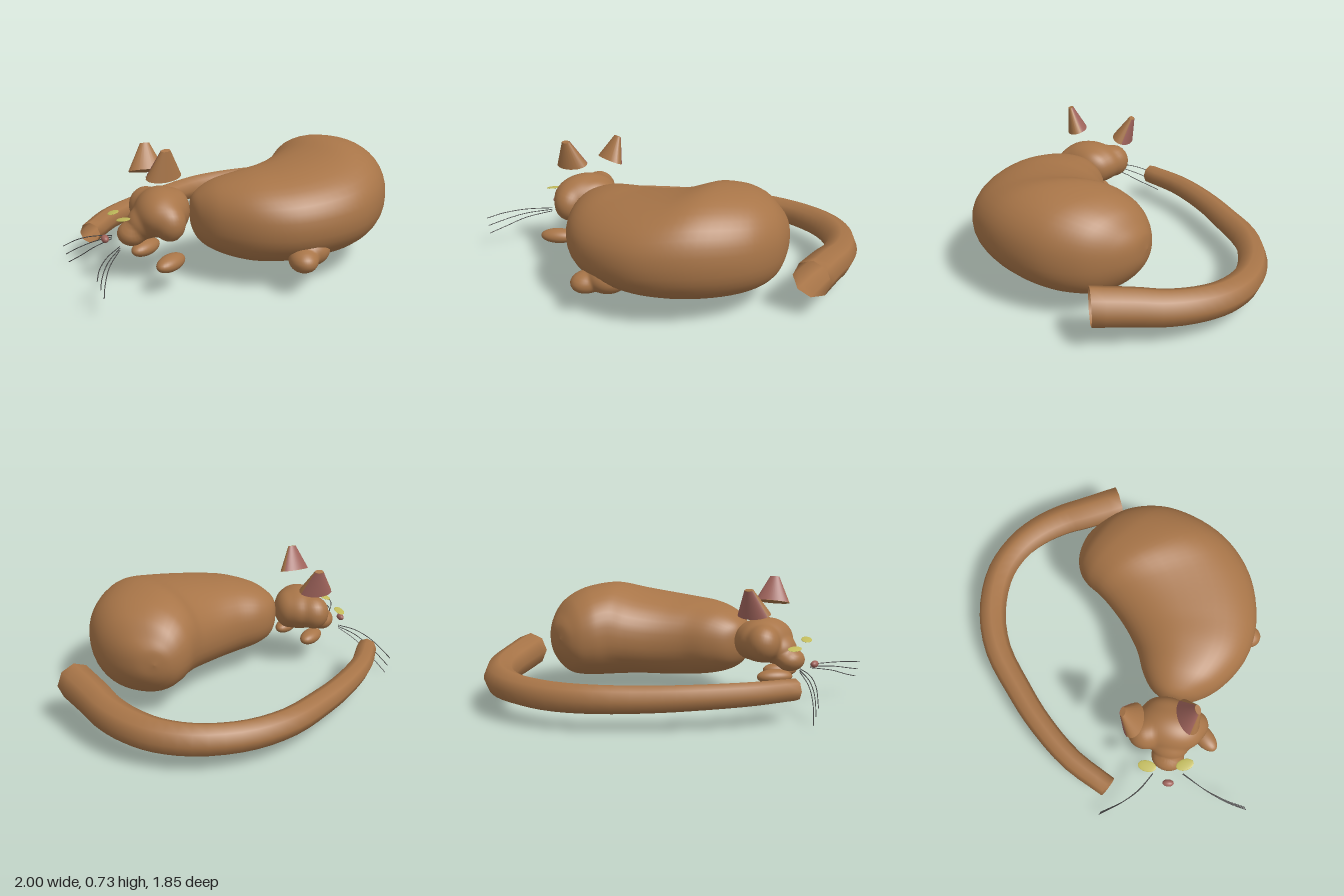
import * as THREE from 'three';

const mat = (name, color) => Object.assign(new THREE.MeshStandardMaterial({ color }), { name });
const V = (p) => new THREE.Vector3(...p);
const UP = new THREE.Vector3(0, 1, 0);
const rounded = (v) => Math.sign(v) * Math.abs(v) ** 0.9;

// Closed rings joined along a path; fn(u, angle) gives each point
function loft(nu, nv, fn) {
  const pos = [], idx = [];
  for (let i = 0; i <= nu; i++) {
    for (let j = 0; j < nv; j++) {
      pos.push(...fn(i / nu, (j / nv) * Math.PI * 2).toArray());
      if (i === nu) continue;
      const k = (j + 1) % nv, a = i * nv + j, b = i * nv + k;
      idx.push(a, a + nv, b, b, a + nv, b + nv);
    }
  }
  const g = new THREE.BufferGeometry();
  g.setAttribute('position', new THREE.Float32BufferAttribute(pos, 3));
  g.setIndex(idx);
  g.computeVertexNormals();
  return g;
}

// One smooth skin around several ellipsoids [centre, radii], found along rays from an inner point
function blend(center, masses) {
  const k = 14;
  const outside = (p) => masses.reduce((sum, [c, r]) => sum + Math.exp(-k * (
    Math.hypot((p.x - c[0]) / r[0], (p.y - c[1]) / r[1], (p.z - c[2]) / r[2]) - 1)), 0) < 1;
  return loft(44, 48, (u, a) => {
    const s = Math.sin(Math.PI * u);
    const dir = V([-Math.cos(Math.PI * u), s * Math.sin(a), s * Math.cos(a)]);
    let lo = 0, hi = 0.4;
    for (let i = 0; i < 18; i++) {
      const mid = (lo + hi) / 2;
      if (outside(V(center).addScaledVector(dir, mid))) hi = mid;
      else lo = mid;
    }
    return V(center).addScaledVector(dir, lo);
  });
}

export function createModel() {
  const fur = mat('brownFur', 0xa87548);
  const tailFur = mat('tailFur', 0xa87548);
  tailFur.side = THREE.DoubleSide;
  const pink = mat('pinkSkin', 0xa0645c);
  pink.side = THREE.DoubleSide;
  const green = mat('yellowGreenEye', 0xc2bb5b);
  const dark = mat('darkWhisker', 0x4a4a4a);

  const model = new THREE.Group();
  model.name = 'sleepingCat';
  const add = (name, geo, material, parent = model) => {
    const m = new THREE.Mesh(geo, material);
    m.name = name;
    parent.add(m);
    return m;
  };
  const blob = (name, p, r, material = fur, rot = [0, 0, 0], parent = model) => {
    const m = add(name, new THREE.SphereGeometry(1, 28, 20), material, parent);
    m.position.set(...p);
    m.scale.set(...r);
    m.rotation.set(...rot);
  };

  // Curled body: inner x, z, outer x, z, top, bottom of each section
  const sections = [
    [-0.31, 0.38, -0.31, 0.38, 0.36, 0.36],
    [-0.298, 0.31, -0.298, 0.45, 0.43, 0.27],
    [-0.26, 0.245, -0.26, 0.53, 0.475, 0.205],
    [-0.18, 0.18, -0.17, 0.63, 0.525, 0.155],
    [-0.05, 0.11, 0.02, 0.735, 0.565, 0.115],
    [0.08, 0.0, 0.25, 0.757, 0.587, 0.1],
    [0.18, -0.12, 0.55, 0.65, 0.625, 0.1],
    [0.23, -0.2, 0.74, 0.43, 0.667, 0.1],
    [0.27, -0.27, 0.83, 0.12, 0.64, 0.11],
    [0.32, -0.32, 0.79, -0.1, 0.58, 0.14],
    [0.37, -0.347, 0.69, -0.245, 0.5, 0.21],
    [0.41, -0.357, 0.58, -0.33, 0.44, 0.28],
    [0.47, -0.36, 0.47, -0.36, 0.36, 0.36],
  ];
  const inner = new THREE.CatmullRomCurve3(sections.map((s) => V([s[0], s[4], s[1]])));
  const outer = new THREE.CatmullRomCurve3(sections.map((s) => V([s[2], s[5], s[3]])));
  add('body', loft(72, 40, (u, a) => {
    const p = inner.getPoint(u), q = outer.getPoint(u);
    const c = p.clone().add(q).multiplyScalar(0.5);
    const w = q.clone().sub(p).multiplyScalar(0.5);
    const across = rounded(Math.cos(a)), upward = rounded(Math.sin(a));
    return V([c.x + w.x * across, c.y - w.y * upward, c.z + w.z * across]);
  }), fur);
  add('hindPaw', blend([0.26, 0.19, 0.66], [
    [[0.28, 0.205, 0.62], [0.12, 0.09, 0.115]],
    [[0.24, 0.18, 0.72], [0.075, 0.06, 0.092]],
  ]), fur);

  // Open tapered tail around the back
  const tailPath = new THREE.CatmullRomCurve3([
    [-0.845, 0.175, 0.14], [-0.74, 0.175, -0.11], [-0.57, 0.17, -0.35], [-0.41, 0.165, -0.52],
    [-0.2, 0.165, -0.71], [0.03, 0.165, -0.815], [0.28, 0.172, -0.84], [0.47, 0.178, -0.785],
    [0.61, 0.188, -0.685], [0.72, 0.2, -0.555], [0.79, 0.215, -0.43], [0.905, 0.235, -0.235],
  ].map(V));
  add('tail', loft(36, 8, (u, a) => {
    const r = 0.06 + 0.045 * u;
    const side = tailPath.getTangent(u).cross(UP).normalize();
    return tailPath.getPoint(u).addScaledVector(side, r * Math.cos(a)).addScaledVector(UP, r * Math.sin(a));
  }), tailFur);

  // Head: skull, nape, cheeks, bridge and muzzle under one skin
  const head = new THREE.Group();
  head.name = 'head';
  model.add(head);
  add('skull', blend([-0.5, 0.35, 0.4], [
    [[-0.46, 0.37, 0.4], [0.14, 0.13, 0.195]],
    [[-0.385, 0.365, 0.37], [0.078, 0.11, 0.125]],
    [[-0.535, 0.37, 0.275], [0.09, 0.1, 0.095]],
    [[-0.42, 0.345, 0.53], [0.08, 0.095, 0.082]],
    [[-0.55, 0.32, 0.42], [0.09, 0.085, 0.11]],
    [[-0.615, 0.268, 0.43], [0.078, 0.065, 0.092]],
  ]), fur, head);
  blob('nose', [-0.755, 0.255, 0.465], [0.02, 0.02, 0.032], pink, [0, 0.2, 0], head);

  // Flat eyes
  blob('rightEye', [-0.71, 0.352, 0.33], [0.031, 0.0045, 0.052], green, [-0.1, 0, 0.2], head);
  blob('leftEye', [-0.657, 0.377, 0.53], [0.031, 0.0045, 0.05], green, [-0.2, 0.5, 0.2], head);

  // Flattened truncated ears, pink on the back side
  const ear = (name, base, tip, turn) => {
    const g = new THREE.Group();
    g.name = name;
    const axis = V(tip).sub(V(base)), h = axis.length();
    add('earShell', new THREE.CylinderGeometry(0.026, 0.1, h, 24), fur, g);
    const arc = 2.4;
    const lining = new THREE.CylinderGeometry(0.029, 0.103, h * 0.98, 16, 1, true, Math.PI - arc / 2, arc);
    add('earLining', lining, pink, g);
    g.scale.set(1, 1, 0.6);
    g.position.copy(V(base)).addScaledVector(axis, 0.5);
    g.quaternion.setFromUnitVectors(UP, axis.normalize())
      .multiply(new THREE.Quaternion().setFromAxisAngle(UP, turn));
    head.add(g);
  };
  ear('leftEar', [-0.445, 0.583, 0.485], [-0.433, 0.728, 0.523], 0.52);
  ear('rightEar', [-0.522, 0.54, 0.205], [-0.527, 0.68, 0.145], 0.1);

  // Front paws
  blob('leftFrontPaw', [-0.425, 0.16, 0.605], [0.055, 0.043, 0.105], fur, [0, -0.65, 0]);
  blob('rightFrontPaw', [-0.545, 0.167, 0.38], [0.055, 0.043, 0.105], fur, [0, -0.65, 0]);

  // Three bowed whiskers on each side
  const whisker = (name, pts) => add(name,
    new THREE.TubeGeometry(new THREE.CatmullRomCurve3(pts.map(V)), 14, 0.0025, 5), dark, head);
  for (let i = 0; i < 3; i++) {
    whisker('rightWhisker', [
      [-0.72, 0.238 - 0.009 * i, 0.37], [-0.82 + 0.003 * i, 0.22 - 0.03 * i, 0.318],
      [-0.905 + 0.008 * i, 0.18 - 0.045 * i, 0.245], [-0.998 + 0.013 * i, 0.1 - 0.048 * i, 0.125],
    ]);
    whisker('leftWhisker', [
      [-0.68, 0.235 - 0.01 * i, 0.535], [-0.745 + 0.006 * i, 0.235 - 0.025 * i, 0.69],
      [-0.778 + 0.012 * i, 0.225 - 0.04 * i, 0.82], [-0.786 + 0.014 * i, 0.21 - 0.045 * i, 0.92],
    ]);
  }
  return model;
}
